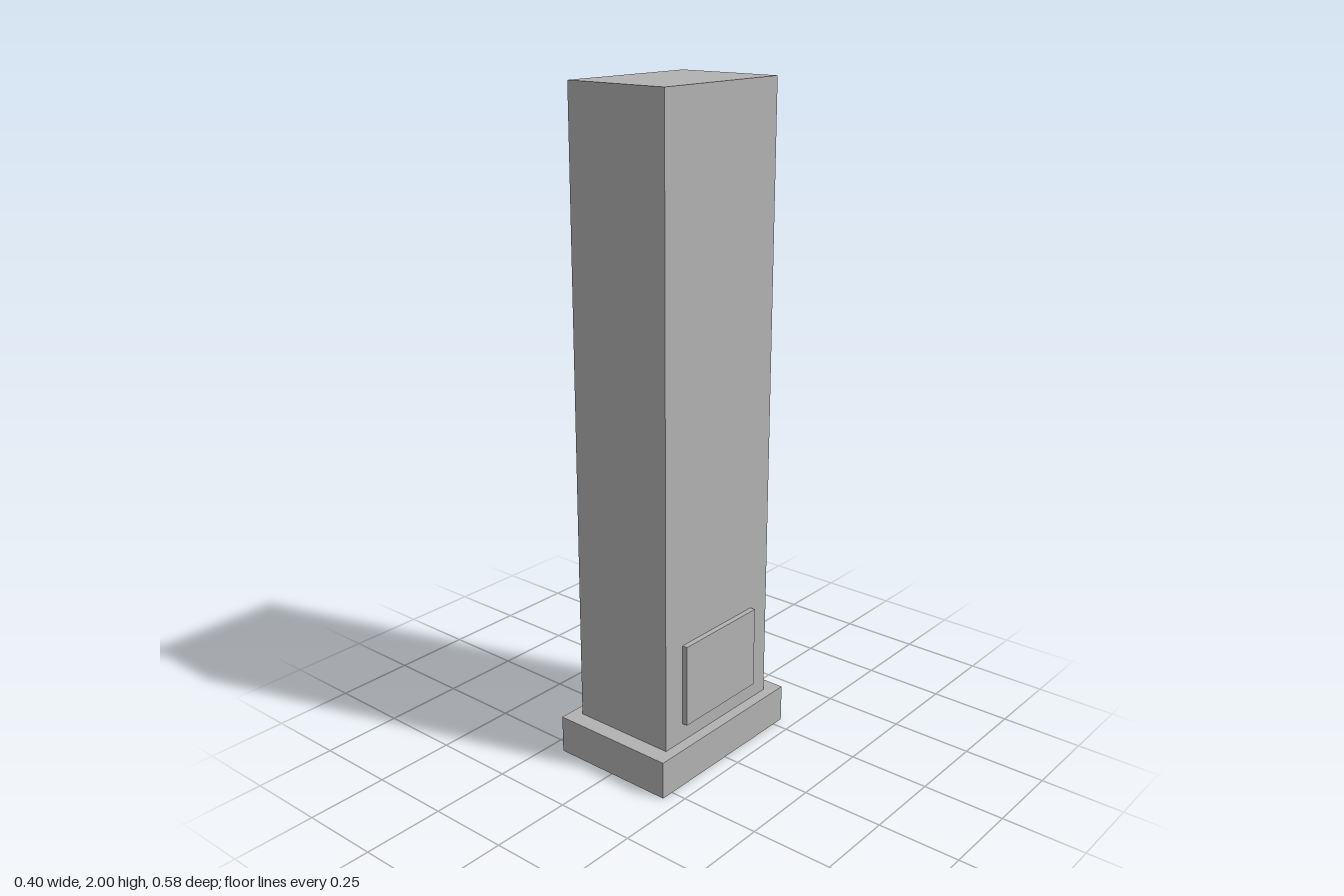
import * as THREE from 'three';

export function createModel() {
  const model = new THREE.Group();
  const stone = new THREE.MeshStandardMaterial({ color: 0xb2b2b2 });
  stone.name = 'stone grey';

  // Box given by its size, its bottom height and its centre in x and z
  const addBlock = (name, [w, h, d], bottom, x = 0, z = 0) => {
    const mesh = new THREE.Mesh(new THREE.BoxGeometry(w, h, d), stone);
    mesh.name = name;
    mesh.position.set(x, bottom + h / 2, z);
    model.add(mesh);
  };

  // Plinth and the tall pillar standing on it
  addBlock('plinth', [0.402, 0.117, 0.58], 0);
  addBlock('pillar', [0.334, 1.883, 0.476], 0.117, 0, -0.001);

  // Raised plaque low on each side, set slightly into the pillar
  for (const side of [-1, 1]) {
    addBlock(side > 0 ? 'leftPlaque' : 'rightPlaque', [0.034, 0.255, 0.324], 0.175, side * 0.167);
  }

  return model;
}
